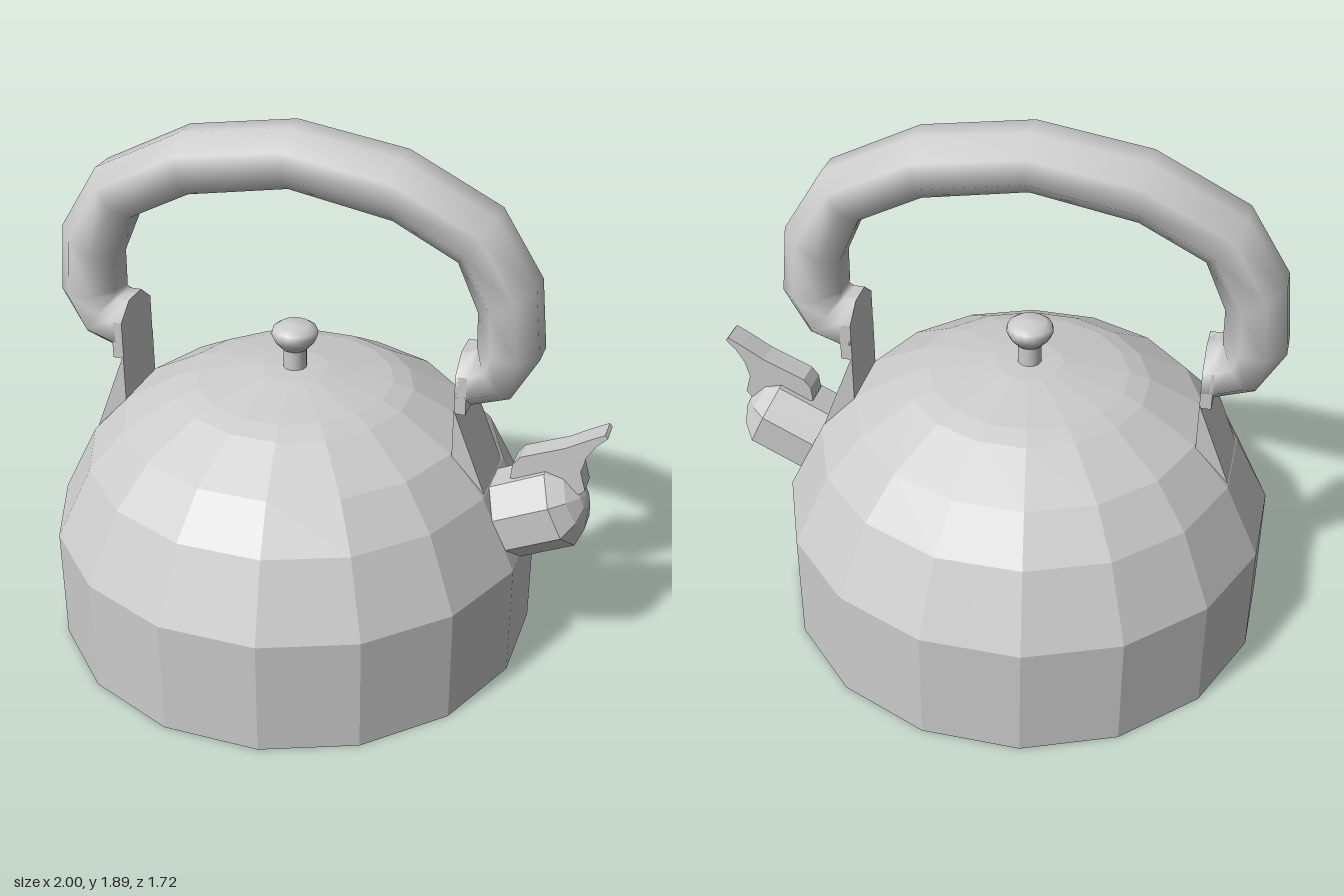
import * as THREE from 'three';

const flat = () => new THREE.MeshStandardMaterial({ color: 0xcccccc, flatShading: true, side: THREE.DoubleSide });
const smooth = () => new THREE.MeshStandardMaterial({ color: 0xcccccc, side: THREE.DoubleSide });
const vec = (points) => points.map(([x, y]) => new THREE.Vector2(x, y));

function add(parent, name, geometry, material) {
  const mesh = new THREE.Mesh(geometry, material);
  mesh.name = name;
  parent.add(mesh);
  return mesh;
}

// Outline in the xy plane, extruded evenly about z = 0
function slab(points, depth) {
  const geometry = new THREE.ExtrudeGeometry(new THREE.Shape(vec(points)), { depth, bevelEnabled: false });
  return geometry.translate(0, 0, -depth / 2);
}

// Octagonal tube swept through pairs of outer and inner outline points
function sweptHandle(pairs, halfWidth) {
  const sides = 8, positions = [], index = [];
  const k = 1 / Math.cos(Math.PI / sides);
  pairs.forEach(([ox, oy, ix, iy], j) => {
    for (let i = 0; i < sides; i++) {
      const a = ((i + 0.5) / sides) * Math.PI * 2;
      const c = Math.cos(a) * k / 2, s = Math.sin(a) * k;
      positions.push((ox + ix) / 2 + (ox - ix) * c, (oy + iy) / 2 + (oy - iy) * c, halfWidth * s);
      if (j < pairs.length - 1) {
        const p = j * sides + i, q = j * sides + (i + 1) % sides;
        index.push(p, q, p + sides, q, q + sides, p + sides);
      }
    }
  });
  const geometry = new THREE.BufferGeometry();
  geometry.setAttribute('position', new THREE.Float32BufferAttribute(positions, 3));
  geometry.setIndex(index);
  geometry.computeVertexNormals();
  return geometry;
}

export function createModel() {
  const model = new THREE.Group();
  model.name = 'kettle';
  const kettle = new THREE.Group();
  kettle.name = 'kettleBody';
  kettle.position.x = -0.123;
  model.add(kettle);

  // Sixteen-sided body: straight wall and faceted dome
  const profile = vec([
    [0, 0], [0.877, 0], [0.877, 0.425], [0.75, 0.68], [0.62, 0.82],
    [0.425, 0.93], [0.352, 0.955], [0.12, 0.995], [0, 1.0],
  ]);
  add(kettle, 'body', new THREE.LatheGeometry(profile, 16, Math.PI / 16), flat());

  // Lid knob and stem
  add(kettle, 'knobStem', new THREE.CylinderGeometry(0.042, 0.042, 0.1, 12), smooth()).position.y = 1.03;
  const knob = vec([[0, 1.065], [0.045, 1.07], [0.072, 1.1], [0.083, 1.125], [0.078, 1.145], [0.055, 1.161], [0, 1.168]]);
  add(kettle, 'knob', new THREE.LatheGeometry(knob, 16), smooth());

  // Arched handle, one half mirrored to the other
  const half = [
    [-0.612, 0.98, -0.612, 1.18], [-0.657, 0.985, -0.657, 1.18],
    [-0.787, 1.03, -0.667, 1.19], [-0.877, 1.19, -0.664, 1.21],
    [-0.852, 1.44, -0.662, 1.33], [-0.707, 1.67, -0.587, 1.5],
    [-0.387, 1.83, -0.362, 1.615],
  ];
  const mirrored = half.map(([a, b, c, d]) => [-a, b, -c, d]).reverse();
  add(kettle, 'handle', sweptHandle([...half, [0, 1.89, 0, 1.68], ...mirrored], 0.122), smooth());

  // Brackets joining handle to dome
  for (const side of ['left', 'right']) {
    const bracket = new THREE.Group();
    bracket.name = side + 'Bracket';
    if (side === 'right') bracket.rotation.y = Math.PI;
    kettle.add(bracket);
    add(bracket, 'bracketWedge', slab([[0.612, 0.7], [0.738, 0.67], [0.614, 0.99], [0.612, 0.99]], 0.25), flat());
    const outline = [[-0.122, 0.98], [0.122, 0.98], [0.122, 1.12], [0.05, 1.18], [-0.05, 1.18], [-0.122, 1.12]];
    const plate = slab(outline, 0.04);
    plate.rotateY(Math.PI / 2).translate(0.632, 0, 0);
    add(bracket, 'bracketPlate', plate, flat());
  }

  // Octagonal spout with a faceted cap, tilted upward
  const spout = new THREE.Group();
  spout.name = 'spout';
  spout.position.set(0.862, 0.638, 0);
  spout.rotation.z = -Math.PI / 2 + 0.445;
  model.add(spout);
  const spoutProfile = vec([[0, -0.3], [0.164, -0.3], [0.164, 0], [0.115, 0.05], [0.05, 0.08], [0, 0.085]]);
  const pipe = add(spout, 'spoutPipe', new THREE.LatheGeometry(spoutProfile, 8, Math.PI / 8), flat());
  pipe.scale.set(0.96, 1, 1.04);

  // Lever on the spout cap with an upturned tip
  const lever = [
    [0.68, 0.72], [0.685, 0.775], [0.71, 0.808], [0.86, 0.872], [0.94, 0.92], [0.99, 0.947],
    [1.0, 0.935], [0.965, 0.9], [0.935, 0.85], [0.92, 0.79], [0.94, 0.72], [0.9, 0.68],
  ];
  add(model, 'spoutLever', slab(lever, 0.09), flat());

  return model;
}
